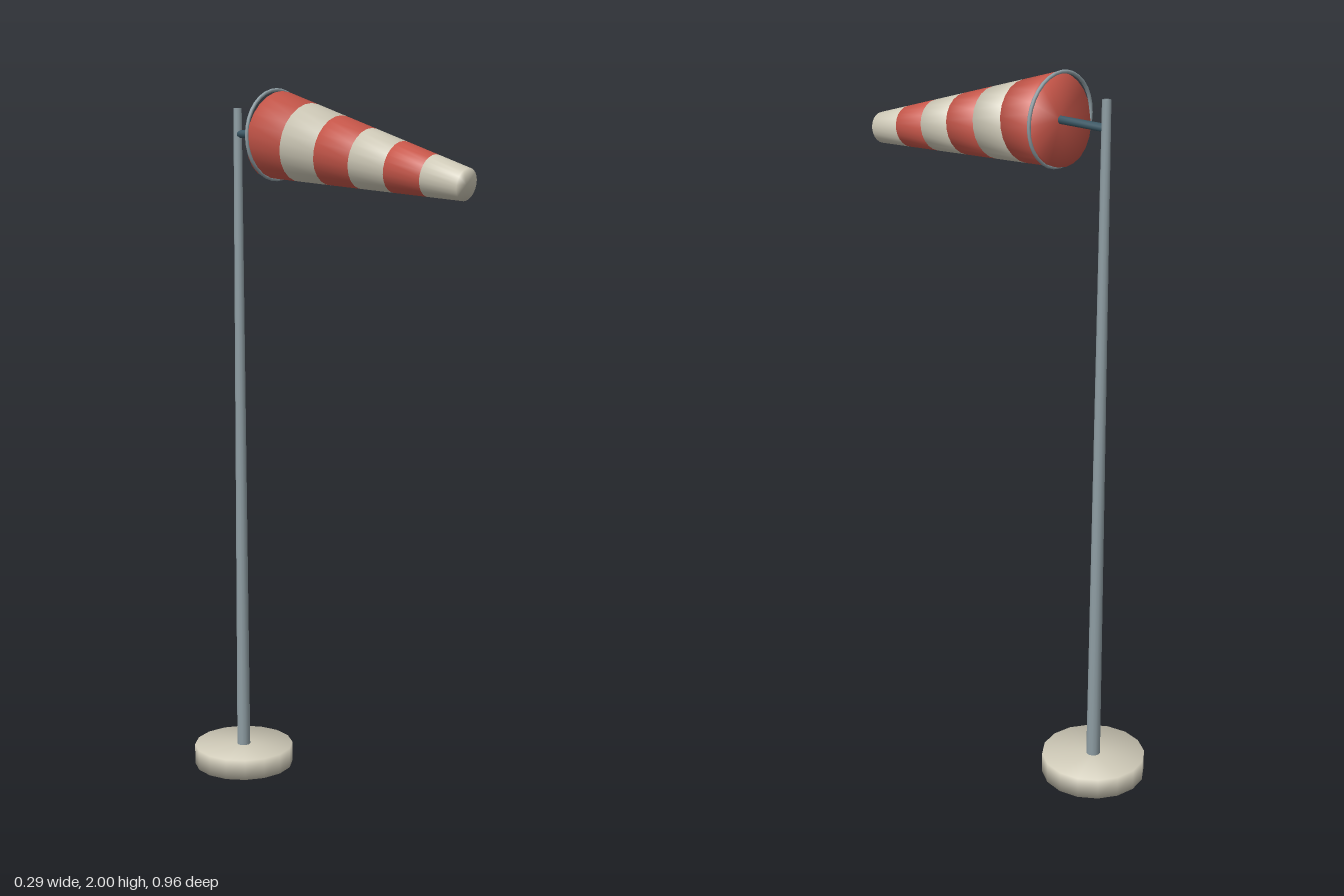
import * as THREE from 'three';
import { mergeVertices } from 'three/addons/utils/BufferGeometryUtils.js';

const material = (name, color) => {
  const m = new THREE.MeshStandardMaterial({ color });
  m.name = name;
  return m;
};

// Closed cylinder with normals blended softly over its rims
function softCylinder(rTop, rBottom, height, sides) {
  const g = new THREE.CylinderGeometry(rTop, rBottom, height, sides);
  g.deleteAttribute('normal');
  g.deleteAttribute('uv');
  const merged = mergeVertices(g, 1e-5);
  merged.computeVertexNormals();
  return merged;
}

export function createModel() {
  const model = new THREE.Group();
  model.name = 'windsock';

  const red = material('red fabric', 0xc9574a);
  const cream = material('cream', 0xcfcab8);
  const steel = material('grey steel', 0x8f9ea4);
  const dark = material('dark steel', 0x3a5663);

  const add = (parent, name, geometry, mat, x, y, z) => {
    const mesh = new THREE.Mesh(geometry, mat);
    mesh.name = name;
    mesh.position.set(x, y, z);
    parent.add(mesh);
    return mesh;
  };

  const poleZ = -0.333, ringY = 1.873, ringZ = -0.183;

  // Base and tapered pole
  add(model, 'base', softCylinder(0.147, 0.147, 0.06, 16), cream, 0, 0.03, poleZ);
  add(model, 'pole', softCylinder(0.012, 0.02, 1.89, 12), steel, 0, 1.0, poleZ);

  // Arm from the pole to the mouth of the sock
  const armLength = ringZ - poleZ;
  const arm = add(model, 'arm', softCylinder(0.011, 0.011, armLength, 10), dark,
    0, ringY, poleZ + armLength / 2);
  arm.rotation.x = Math.PI / 2;

  // Upright mouth ring
  add(model, 'mouthRing', new THREE.TorusGeometry(0.122, 0.005, 8, 32), steel, 0, ringY, ringZ);

  // Sock: six tapering bands along a drooping axis
  const sock = new THREE.Group();
  sock.name = 'sock';
  sock.position.set(0, ringY, ringZ);
  sock.rotation.x = Math.PI / 2 + 0.174;
  model.add(sock);

  const bands = 6, length = 0.661, step = length / bands;
  const radiusAt = (i) => THREE.MathUtils.lerp(0.121, 0.043, i / bands);
  for (let i = 0; i < bands; i++) {
    add(sock, `sockBand${i + 1}`, softCylinder(radiusAt(i + 1), radiusAt(i), step, 24),
      i % 2 ? cream : red, 0, (i + 0.5) * step, 0);
  }

  return model;
}
